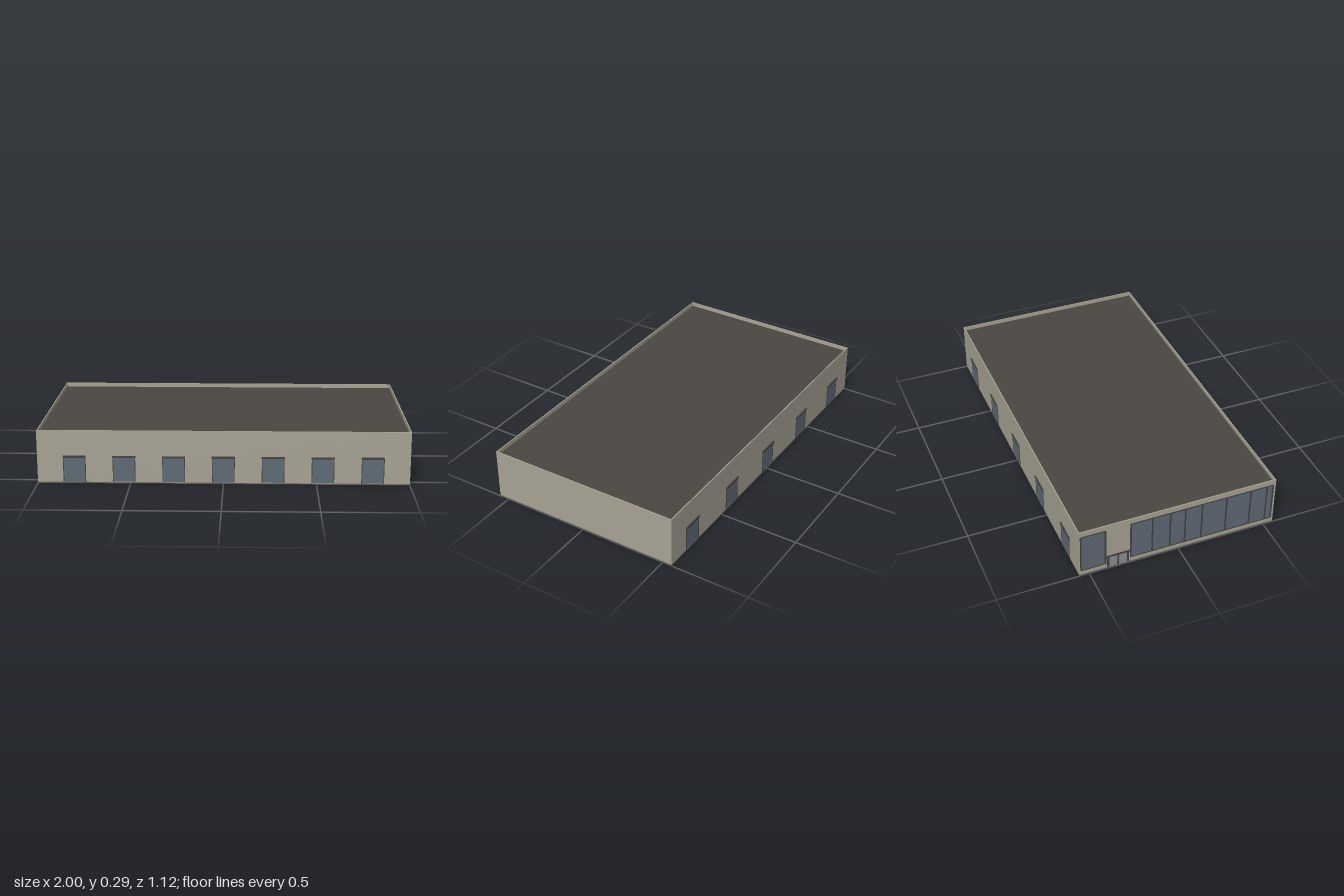
import * as THREE from 'three';

const W = 2, D = 1.11, H = 0.295, BASE = 0.008, T = 0.006;
const mat = (color) => new THREE.MeshStandardMaterial({ color });
const wallMat = mat(0xa8a494), roofMat = mat(0x4b4743), darkMat = mat(0x45423f);
const glassMat = mat(0x5f6b76), plinthMat = mat(0x77736a), paleMat = mat(0x8a9096);

// Box given by its lower and upper limits on each axis
function box(parent, name, material, [x0, x1], [y0, y1], [z0, z1]) {
  const mesh = new THREE.Mesh(new THREE.BoxGeometry(x1 - x0, y1 - y0, z1 - z0), material);
  mesh.position.set((x0 + x1) / 2, (y0 + y1) / 2, (z0 + z1) / 2);
  mesh.name = name;
  parent.add(mesh);
  return mesh;
}

// Loading door facing +z, its wall plane at z = 0
function loadingDoor() {
  const g = new THREE.Group();
  g.name = 'loadingDoor';
  box(g, 'doorPanel', glassMat, [-0.057, 0.057], [0.01, 0.146], [-0.003, 0.001]);
  for (const s of [-1, 1]) {
    const x = s * 0.059;
    box(g, 'doorJamb', darkMat, [x - 0.002, x + 0.002], [BASE, 0.146], [-0.003, 0.002]);
  }
  box(g, 'doorCanopy', darkMat, [-0.062, 0.062], [0.144, 0.154], [-0.003, 0.007]);
  return g;
}

// Glazed strip on the -x wall between two z limits, with upright mullions
function glazing(parent, z0, z1, mullions) {
  const g = new THREE.Group();
  g.name = 'glazing';
  const y0 = 0.035, y1 = 0.262;
  box(g, 'glass', glassMat, [-0.9985, -0.99], [y0, y1], [z0, z1]);
  for (const z of [z0, ...mullions, z1])
    box(g, 'mullion', darkMat, [-1.001, -0.99], [y0, y1], [z - 0.004, z + 0.004]);
  for (const y of [y0, y1])
    box(g, 'glazingRail', darkMat, [-1, -0.99], [y - 0.003, y + 0.003], [z0, z1]);
  parent.add(g);
}

export function createModel() {
  const model = new THREE.Group();
  model.name = 'warehouse';
  const x = W / 2, z = D / 2;

  // Floor slab with a thin plinth showing below the walls
  box(model, 'floorSlab', darkMat, [-x, x], [0, 0.003], [-z, z]);
  box(model, 'plinth', plinthMat, [-x, x], [0.003, BASE], [-z, z]);

  // Walls rise above the roof as a parapet
  box(model, 'frontWall', wallMat, [-x, x], [BASE, H], [z - T, z]);
  box(model, 'backWall', wallMat, [-x, x], [BASE, H], [-z, -z + T]);
  box(model, 'leftWall', wallMat, [x - T, x], [BASE, H], [-z + T, z - T]);
  box(model, 'rightWall', wallMat, [-x + 0.0025, -x + T + 0.0025], [BASE, H], [-z + T, z - T]);
  box(model, 'roof', roofMat, [-x + T, x - T], [0.255, 0.272], [-z + T, z - T]);

  // Seven loading doors in front, five at the back
  const addDoors = (count, back) => {
    for (let i = 0; i < count; i++) {
      const door = loadingDoor();
      door.position.set(-0.8 + (1.6 * i) / (count - 1), 0, back ? -z : z);
      if (back) door.rotation.y = Math.PI;
      model.add(door);
    }
  };
  addDoors(7, false);
  addDoors(5, true);

  // Office glazing on the right wall
  glazing(model, -0.545, -0.41, []);
  glazing(model, -0.27, 0.54, [-0.15, -0.05, 0.035, 0.13, 0.27, 0.41, 0.505]);

  // Entrance between the glazed strips
  const entrance = new THREE.Group();
  entrance.name = 'entrance';
  box(entrance, 'entranceFrame', darkMat, [-0.9985, -0.99], [BASE, 0.085], [-0.4, -0.28]);
  for (const s of [-1, 1]) {
    const c = -0.34 + s * 0.027;
    box(entrance, 'entranceDoor', paleMat, [-0.9995, -0.99], [BASE, 0.073], [c - 0.022, c + 0.022]);
  }
  box(entrance, 'entranceCanopy', darkMat, [-1.002, -0.99], [0.078, 0.086], [-0.405, -0.275]);
  model.add(entrance);

  return model;
}
